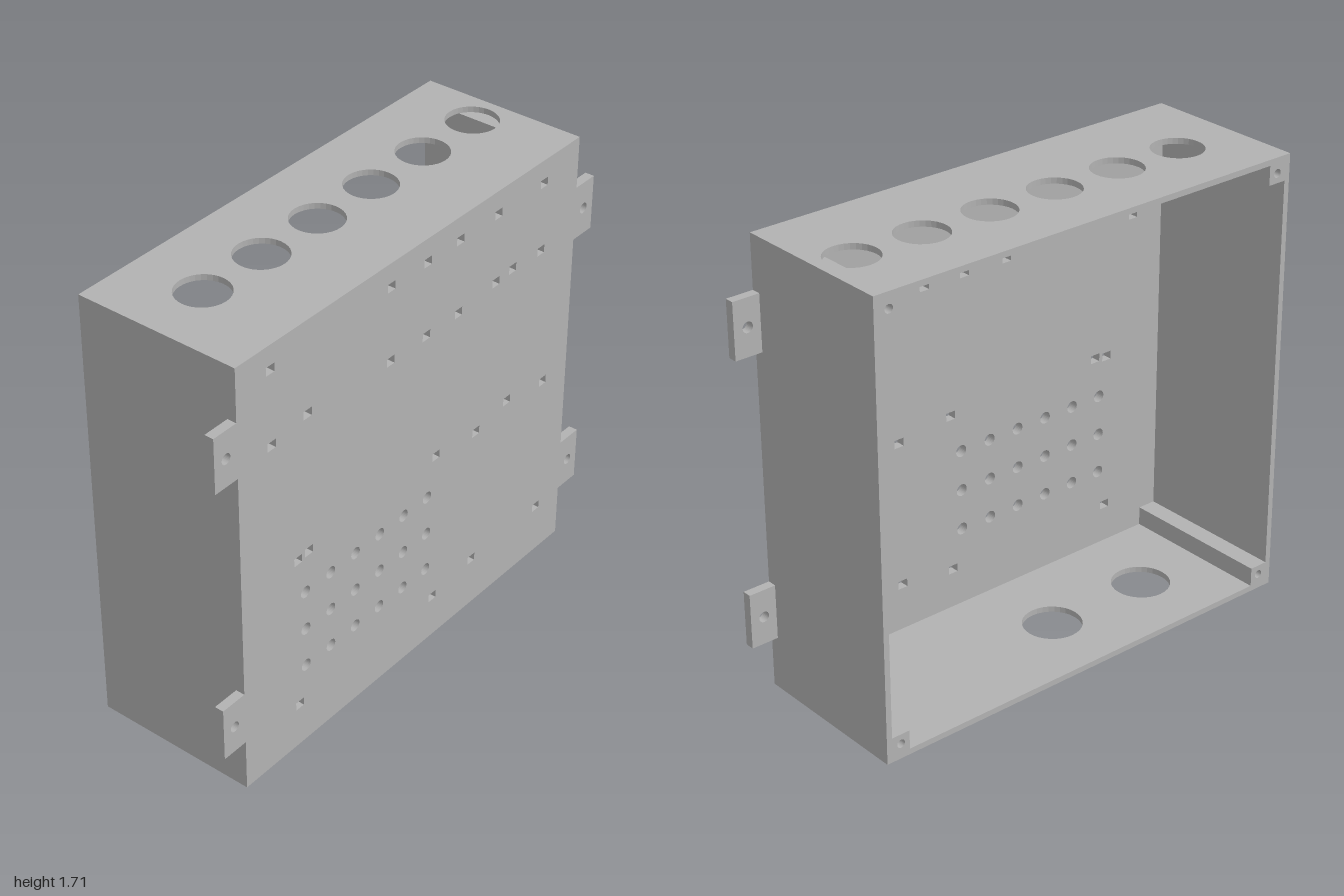
import * as THREE from 'three';

const W = 0.895, H = 1.705, D = 0.32; // half width, height, half depth
const WALL = 0.022, FRONT = 0.035;    // wall and front plate thickness
const POST = 0.073, DRILL = 0.15;     // corner post size and screw hole depth

function polygon(points, Type = THREE.Shape) {
  return new Type(points.map(([x, y]) => new THREE.Vector2(x, y)));
}

function rect(x0, y0, x1, y1, Type) {
  return polygon([[x0, y0], [x1, y0], [x1, y1], [x0, y1]], Type);
}

function addCircle(shape, x, y, r) {
  const path = new THREE.Path();
  path.absarc(x, y, r, 0, Math.PI * 2, true);
  shape.holes.push(path);
}

function addSlot(shape, x, y) {
  shape.holes.push(rect(x - 0.02, y - 0.016, x + 0.02, y + 0.016, THREE.Path));
}

function extrude(shape, depth) {
  return new THREE.ExtrudeGeometry(shape, { depth, bevelEnabled: false, curveSegments: 16 });
}

export function createModel() {
  const model = new THREE.Group();
  model.name = 'enclosure';
  const grey = new THREE.MeshStandardMaterial({ color: 0xb2b2b2 });
  grey.name = 'grey plastic';

  function add(name, geometry, x = 0, y = 0, z = 0, parent = model) {
    const mesh = new THREE.Mesh(geometry, grey);
    mesh.name = name;
    mesh.position.set(x, y, z);
    parent.add(mesh);
    return mesh;
  }

  // Front plate outline, including four mounting tabs
  const side = [[W, 0], [W, 0.205], [1, 0.205], [1, 0.415], [W, 0.415],
    [W, 1.295], [1, 1.295], [1, 1.505], [W, 1.505], [W, H]];
  const mirrored = side.map(([x, y]) => [-x, y]).reverse();
  const plate = polygon([...side, ...mirrored]);
  for (const x of [-0.946, 0.946]) for (const y of [0.31, 1.4]) addCircle(plate, x, y, 0.02);

  // Ventilation holes
  for (let i = 0; i < 6; i++) {
    for (let j = 0; j < 3; j++) addCircle(plate, -0.58 + i * 0.131, 0.33 + j * 0.158, 0.023);
  }

  // Small mounting slots
  const slots = [
    [1.615, -0.735, -0.14, 0.05, 0.225, 0.435, 0.695],
    [1.33, -0.735, -0.14, 0.05, 0.225],
    [1.347, 0.435, 0.695],
    [1.355, -0.56, 0.53],
    [0.8, -0.615, 0.12],
    [0.807, -0.56, 0.53],
    [0.772, 0.35, 0.75],
    [0.178, -0.615, 0.12],
    [0.205, 0.35, 0.75],
  ];
  for (const [y, ...xs] of slots) for (const x of xs) addSlot(plate, x, y);
  add('frontPlate', extrude(plate, FRONT), 0, 0, D - FRONT);

  // Top and bottom walls with cable openings
  function cableWall(name, y, centres, r) {
    const shape = rect(-W, FRONT - D, W, D);
    for (const x of centres) addCircle(shape, x, 0.035, r);
    add(name, extrude(shape, WALL).rotateX(-Math.PI / 2), 0, y, 0);
  }
  cableWall('topWall', H - WALL, [-0.637, -0.358, -0.079, 0.2, 0.48, 0.759], 0.096);
  cableWall('bottomWall', 0, [-0.51, -0.077], 0.11);

  // Side walls
  for (const [name, s] of [['leftWall', 1], ['rightWall', -1]]) {
    add(name, new THREE.BoxGeometry(WALL, H - 2 * WALL, 2 * D - FRONT),
      s * (W - WALL / 2), H / 2, -FRONT / 2);
  }

  // Corner posts, drilled from the open back
  const end = rect(-POST / 2, -POST / 2, POST / 2, POST / 2);
  addCircle(end, 0, 0, 0.016);
  const drilled = extrude(end, DRILL);
  const length = 2 * D - FRONT - DRILL;
  const solid = new THREE.BoxGeometry(POST, POST, length);
  const inset = WALL + POST / 2;
  for (const x of [-W + inset, W - inset]) {
    for (const y of [inset, H - inset]) {
      const post = new THREE.Group();
      post.name = 'cornerPost';
      post.position.set(x, y, -D);
      add('drilledEnd', drilled, 0, 0, 0, post);
      add('postBody', solid, 0, 0, DRILL + length / 2, post);
      model.add(post);
    }
  }
  return model;
}
